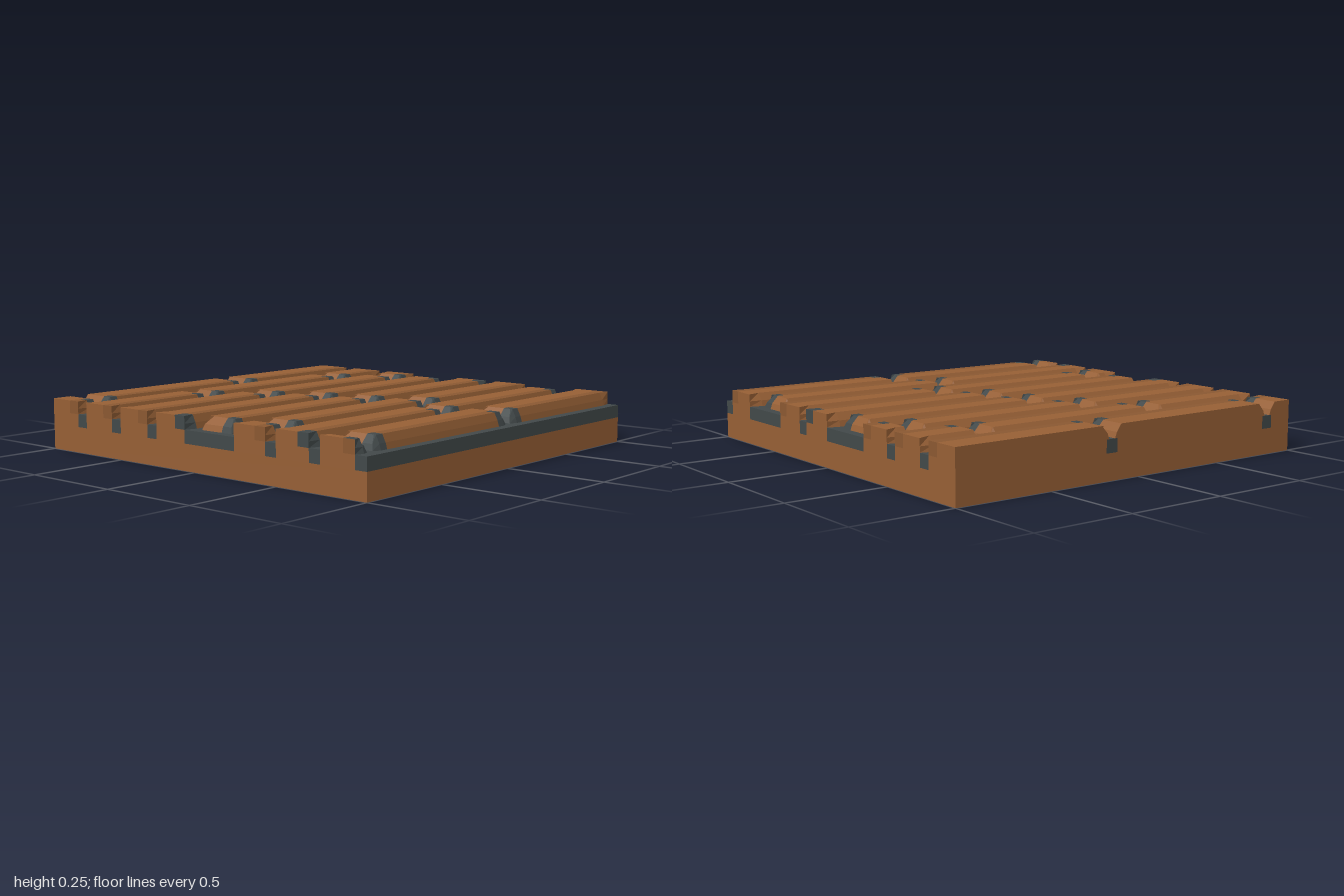
import * as THREE from 'three';

const CELL = 0.0625;
const BED = 0.1875;   // mortar level
const TOP = 0.25;     // brick level

const brick = new THREE.MeshStandardMaterial({ color: 0x965f35 });
brick.name = 'brick brown';
const shade = new THREE.MeshStandardMaterial({ color: 0x8a5831 });
shade.name = 'dark brick brown';
const mortar = new THREE.MeshStandardMaterial({ color: 0x414849 });
mortar.name = 'mortar grey';
const materials = [brick, shade, mortar];

// Start of the full brick (in cells from the left edge) for each row, back to front
const rowStarts = [3, 11, 14, 0, 1, 3, 0, 2];

function box(name, material, x0, x1, y0, y1, z0, z1) {
  const mesh = new THREE.Mesh(new THREE.BoxGeometry(x1 - x0, y1 - y0, z1 - z0), material);
  mesh.position.set((x0 + x1) / 2, (y0 + y1) / 2, (z0 + z1) / 2);
  mesh.name = name;
  return mesh;
}

// Bevelled brick crown lofted along x; its front corners at real ends are mortar coloured
function crown(a, b, z0, z1, realLeft, realRight) {
  const flushBack = z0 <= -0.999;
  const isEdge = (x) => Math.abs(x) > 0.999;
  const levels = [BED, 0.215, TOP];
  const frontOut = [0.015, 0.006, -0.012];
  const backOut = flushBack ? [0, 0, 0] : [0.015, 0.006, -0.022];
  const endOut = [0.014, 0.004, -0.028];

  // Stations: ends, corner rounding and the limits of the corner cells
  let xs = [a, a + CELL, b - CELL, b];
  if (!isEdge(a)) xs.push(a + 0.022);
  if (!isEdge(b)) xs.push(b - 0.022);
  xs = xs.filter((x) => x >= a - 1e-6 && x <= b + 1e-6).sort((p, q) => p - q);
  xs = xs.filter((x, i) => i === 0 || x - xs[i - 1] > 1e-4);
  const last = xs.length - 1;

  const stations = xs.map((x, s) => {
    const dir = s === 0 ? -1 : s === last ? 1 : 0;
    const cut = dir !== 0 && isEdge(x);
    const end = dir !== 0 && !cut;
    const px = (k) => (end ? x + dir * endOut[k] : x);
    const pinch = end ? 0.016 : 0;
    const front = levels.map((y, k) => [px(k), y, z1 + (cut ? 0 : frontOut[k] - pinch)]);
    const back = levels.map((y, k) => [px(k), y, z0 - (cut ? 0 : backOut[k] - (flushBack ? 0 : pinch))]);
    const split = levels.map((y, k) => [px(k), y, z1 - CELL]);
    return { front, back, split, loop: [...front, split[2], back[2], back[1], back[0]] };
  });

  const faces = [[], [], []];
  const quad = (m, p, q, r, t) => faces[m].push(...p, ...q, ...r, ...p, ...r, ...t);

  for (let s = 0; s < last; s++) {
    const mid = (xs[s] + xs[s + 1]) / 2;
    const corner = (realLeft && mid < a + CELL) || (realRight && mid > b - CELL);
    const p = stations[s].loop, q = stations[s + 1].loop;
    for (let i = 0; i < 6; i++) {
      quad(i < 3 ? (corner ? 2 : 1) : 0, p[i], q[i], q[i + 1], p[i + 1]);
    }
  }

  // End faces
  [[stations[0], false, realLeft], [stations[last], true, realRight]].forEach(([st, right, real]) => {
    for (let k = 0; k < 2; k++) {
      [[st.front, st.split, real ? 2 : 1], [st.split, st.back, 0]].forEach(([f, r, m]) => {
        if (right) quad(m, f[k], r[k], r[k + 1], f[k + 1]);
        else quad(m, r[k], f[k], f[k + 1], r[k + 1]);
      });
    }
  });

  const geometry = new THREE.BufferGeometry();
  geometry.setAttribute('position', new THREE.Float32BufferAttribute(faces.flat(), 3));
  let start = 0;
  faces.forEach((list, m) => {
    if (list.length) geometry.addGroup(start, list.length / 3, m);
    start += list.length / 3;
  });
  geometry.computeVertexNormals();
  const mesh = new THREE.Mesh(geometry, materials);
  mesh.name = 'brickTop';
  return mesh;
}

export function createModel() {
  const model = new THREE.Group();
  model.name = 'brickFloorTile';
  model.add(box('baseSlab', brick, -1, 1, 0, 2 * CELL, -1, 1));

  rowStarts.forEach((first, r) => {
    const row = new THREE.Group();
    row.name = 'brickRow' + (r + 1);
    const z0 = -1 + r * 0.25;
    const z1 = z0 + 3 * CELL;

    // Long mortar joint in front of the row
    row.add(box('longJoint', mortar, -1, 1, 2 * CELL, BED, z1, z1 + CELL));

    // Bricks of 15 cells, one cell of mortar after each, clipped to the tile
    for (let c = first - 16; c < 32; c += 16) {
      const c0 = Math.max(c, 0), c1 = Math.min(c + 15, 32);
      if (c1 > c0) {
        const a = -1 + c0 * CELL, b = -1 + c1 * CELL;
        row.add(box('brickBody', brick, a, b, 2 * CELL, BED, z0, z1));
        row.add(crown(a, b, z0, z1, c0 === c, c1 === c + 15));
      }
      const j = c + 15;
      if (j >= 0 && j < 32) {
        const x = -1 + j * CELL;
        row.add(box('crossJoint', mortar, x, x + CELL, 2 * CELL, BED, z0, z1));
      }
    }
    model.add(row);
  });
  return model;
}
